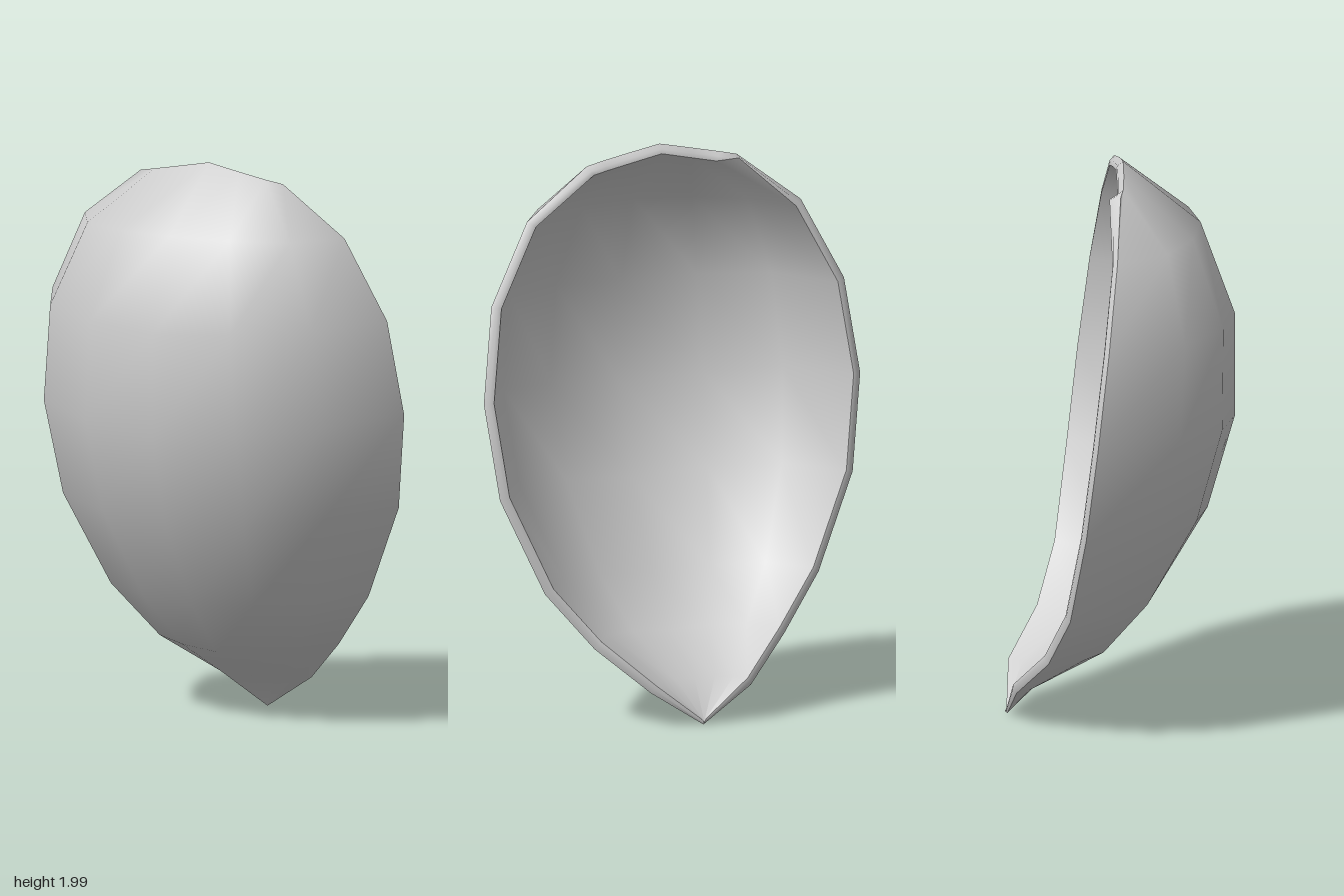
import * as THREE from 'three';

// One row per cross-section, top to tip:
// half width, rim y, rim z, ridge y, ridge z, thickness
const ROWS = [
  [0.285, 1.945, -0.01, 2.0, 0.01, 0.04],
  [0.52, 1.77, -0.03, 1.78, 0.28, 0.036],
  [0.67, 1.485, -0.065, 1.45, 0.4, 0.036],
  [0.715, 1.15, -0.105, 1.08, 0.4, 0.036],
  [0.67, 0.81, -0.145, 0.75, 0.305, 0.036],
  [0.52, 0.475, -0.195, 0.44, 0.12, 0.036],
  [0.36, 0.28, -0.265, 0.255, -0.04, 0.036],
  [0.19, 0.13, -0.37, 0.13, -0.29, 0.034],
  [0.003, 0.01, -0.393, 0.008, -0.393, 0.012],
];
// Columns across the petal: position over half width, and depth of the cup
const ACROSS = [-1, -0.78, -0.42, 0, 0.42, 0.78, 1];
const DEPTH = [0, 0.58, 0.89, 1, 0.89, 0.58, 0];
const NC = ACROSS.length;
const NR = ROWS.length;

function makeGeometry(points, index) {
  const g = new THREE.BufferGeometry().setFromPoints(points);
  g.setIndex(index);
  g.computeVertexNormals();
  return g;
}

function gridIndex(flip) {
  const index = [];
  for (let i = 0; i < NR - 1; i++) {
    for (let j = 0; j < NC - 1; j++) {
      const a = i * NC + j, b = a + 1, c = a + NC, d = c + 1;
      if (flip) index.push(a, b, c, b, d, c);
      else index.push(a, c, b, b, c, d);
    }
  }
  return index;
}

export function createModel() {
  const group = new THREE.Group();
  group.name = 'petal';
  const material = new THREE.MeshStandardMaterial({ color: 0xcccccc, side: THREE.DoubleSide });
  const add = (name, geometry) => {
    const mesh = new THREE.Mesh(geometry, material);
    mesh.name = name;
    group.add(mesh);
  };

  // Outer face: cupped cross-sections with a very slight twist
  const outer = [];
  for (const [w, rimY, rimZ, ridgeY, ridgeZ] of ROWS) {
    ACROSS.forEach((u, j) => {
      const x = u * w;
      const y = THREE.MathUtils.lerp(ridgeY, rimY, Math.abs(u));
      const z = THREE.MathUtils.lerp(rimZ, ridgeZ, DEPTH[j]) - 0.018 * x;
      outer.push(new THREE.Vector3(x, y, z));
    });
  }
  const outerGeometry = makeGeometry(outer, gridIndex(false));
  add('outerFace', outerGeometry);

  // Inner face: the outer face moved inwards along its normals
  const normals = outer.map((_, k) =>
    new THREE.Vector3().fromBufferAttribute(outerGeometry.attributes.normal, k));
  const inner = outer.map((p, k) =>
    p.clone().addScaledVector(normals[k], -ROWS[Math.floor(k / NC)][5]));
  add('innerFace', makeGeometry(inner, gridIndex(true)));

  // Rounded lip joining both faces around the border
  const border = [];
  for (let j = 0; j < NC - 1; j++) border.push(j);
  for (let i = 0; i < NR - 1; i++) border.push(i * NC + NC - 1);
  for (let j = NC - 1; j > 0; j--) border.push((NR - 1) * NC + j);
  for (let i = NR - 1; i > 0; i--) border.push(i * NC);

  const lip = [];
  const lipIndex = [];
  border.forEach((k, n) => {
    const thickness = ROWS[Math.floor(k / NC)][5];
    const middle = outer[k].clone().lerp(inner[k], 0.5);
    middle.z -= thickness * 0.2;
    lip.push(outer[k], middle, inner[k]);
    const a = n * 3;
    const b = ((n + 1) % border.length) * 3;
    for (let s = 0; s < 2; s++) {
      lipIndex.push(a + s, b + s, a + s + 1, b + s, b + s + 1, a + s + 1);
    }
  });
  add('lip', makeGeometry(lip, lipIndex));

  return group;
}
